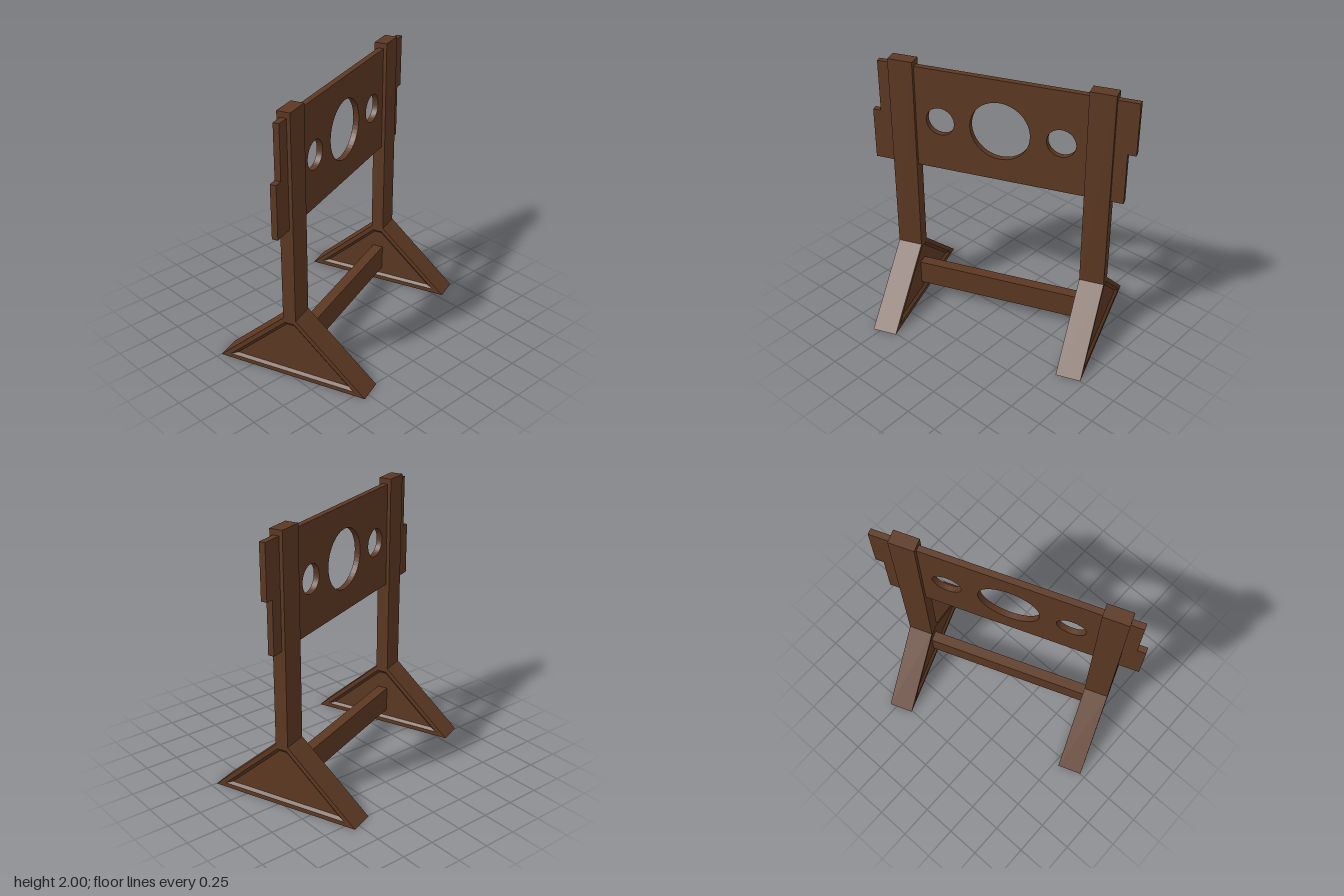
import * as THREE from 'three';

const wood = new THREE.MeshStandardMaterial({ color: 0x5c3822 });
const POST_X = 0.717, POST_W = 0.183, POST_D = 0.096;

function add(parent, name, geometry, x = 0, y = 0, z = 0) {
  const mesh = new THREE.Mesh(geometry, wood);
  mesh.name = name;
  mesh.position.set(x, y, z);
  parent.add(mesh);
  return mesh;
}

// Tapered foot, both sides with a shallow chamfered recess: trapezoid rings along x
function footGeometry() {
  const height = 0.475, base = 0.573, top = POST_D / 2, half = POST_W / 2;
  const slope = (base - top) / height;
  const ring = (x, inset) => {
    const y0 = inset, y1 = height - inset;
    const w = (y) => base - slope * y - inset * Math.hypot(1, slope);
    return [[x, y0, -w(y0)], [x, y0, w(y0)], [x, y1, w(y1)], [x, y1, -w(y1)]];
  };
  const rings = [
    ring(-half + 0.018, 0.052), ring(-half, 0.032), ring(-half, 0),
    ring(half, 0), ring(half, 0.032), ring(half - 0.018, 0.052),
  ];
  const pos = [];
  const quad = (a, b, c, d) => pos.push(...a, ...b, ...c, ...a, ...c, ...d);
  quad(...rings[0]);
  for (let r = 0; r < rings.length - 1; r++) {
    for (let i = 0; i < 4; i++) {
      const j = (i + 1) % 4;
      quad(rings[r][i], rings[r + 1][i], rings[r + 1][j], rings[r][j]);
    }
  }
  quad(...rings[rings.length - 1].slice().reverse());
  const g = new THREE.BufferGeometry();
  g.setAttribute('position', new THREE.Float32BufferAttribute(pos, 3));
  g.computeVertexNormals();
  return g;
}

// Plank outline with offset upper and lower halves, and holes for head and hands
function boardGeometry() {
  const shape = new THREE.Shape([
    [-0.96, 1.18], [0.9, 1.18], [0.9, 1.57], [0.96, 1.57],
    [0.96, 1.96], [-0.9, 1.96], [-0.9, 1.57], [-0.96, 1.57],
  ].map(([x, y]) => new THREE.Vector2(x, y)));
  for (const [x, y, r] of [[0, 1.57, 0.22], [-0.443, 1.563, 0.105], [0.443, 1.563, 0.105]]) {
    const hole = new THREE.Path();
    hole.absarc(x, y, r, 0, Math.PI * 2, true);
    shape.holes.push(hole);
  }
  const depth = 0.044;
  return new THREE.ExtrudeGeometry(shape, { depth, bevelEnabled: false, curveSegments: 24 })
    .translate(0, 0, -depth / 2);
}

export function createModel() {
  const group = new THREE.Group();
  group.name = 'pillory';

  // The whole frame stands turned about the vertical axis
  const frame = new THREE.Group();
  frame.name = 'frame';
  frame.rotation.y = THREE.MathUtils.degToRad(20.9);
  group.add(frame);

  for (const [side, s] of [['right', -1], ['left', 1]]) {
    add(frame, side + 'Foot', footGeometry(), s * POST_X);
    add(frame, side + 'Post', new THREE.BoxGeometry(POST_W, 1.525, POST_D), s * POST_X, 1.2375);
  }
  add(frame, 'crossbar', new THREE.BoxGeometry(2 * POST_X - 0.1, 0.19, 0.08), 0, 0.2);
  add(frame, 'board', boardGeometry());

  return group;
}
